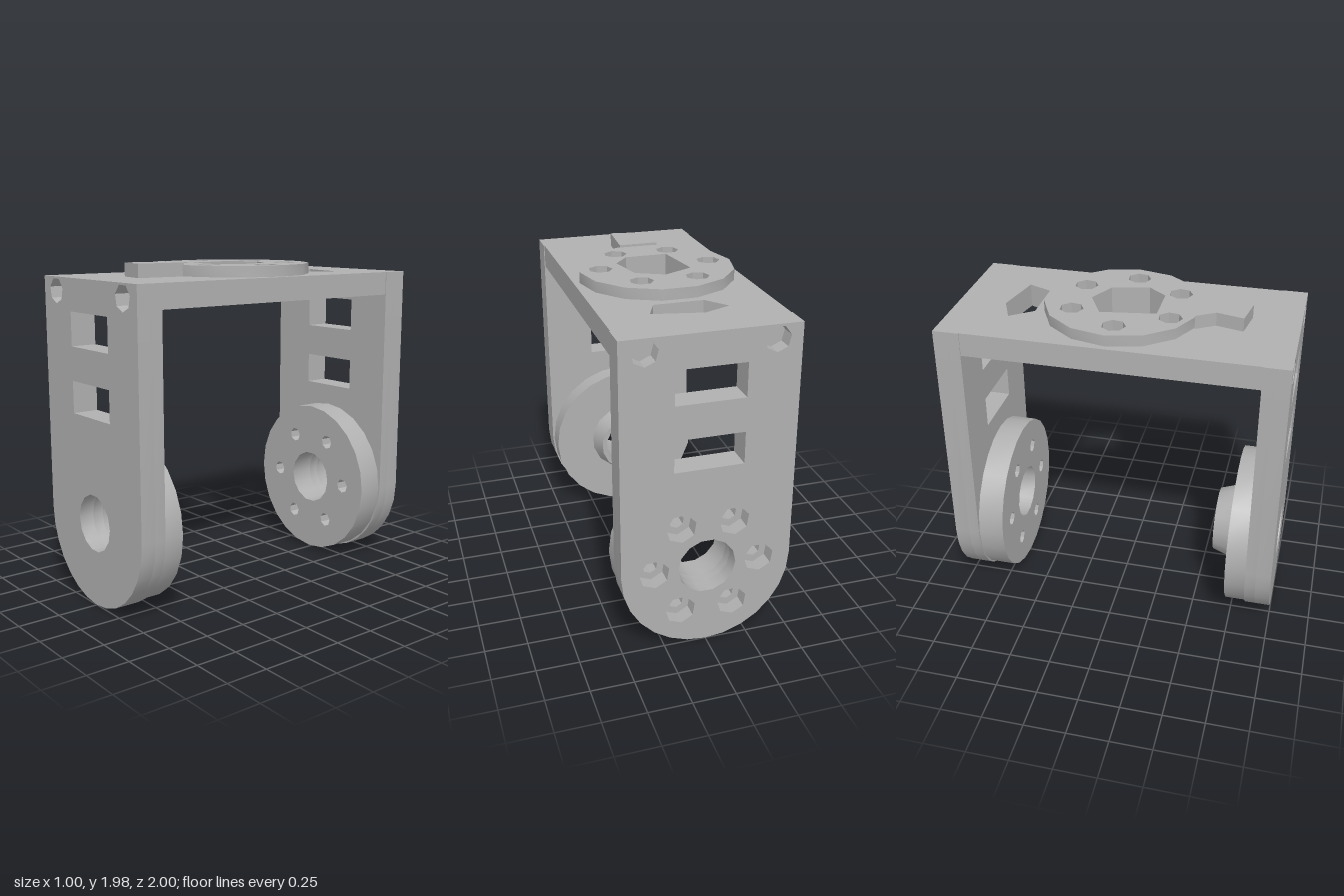
import * as THREE from 'three';
import { toCreasedNormals } from 'three/addons/utils/BufferGeometryUtils.js';

const gray = new THREE.MeshStandardMaterial({ color: 0xb0b0b0 });
gray.name = 'plain gray';

const HUB_Y = 0.5;
const HOLE_R = 0.17;

function polygon(points) {
  return points.map(([x, y]) => new THREE.Vector2(x, y));
}

function ngon(cx, cy, r, sides, phase = 0) {
  return Array.from({ length: sides }, (_, i) => {
    const a = phase + (i / sides) * Math.PI * 2;
    return new THREE.Vector2(cx + r * Math.cos(a), cy + r * Math.sin(a));
  });
}

function rect(x0, x1, y0, y1) {
  return polygon([[x0, y0], [x1, y0], [x1, y1], [x0, y1]]);
}

// Six holes on a bolt circle
function boltHoles(cy, ringR, r) {
  return ngon(0, cy, ringR, 6).map((c) => ngon(c.x, c.y, r, 7, 0.3));
}

// Extruded slab from z0 to z1 with polygonal holes
function slab(name, outline, holes, z0, z1) {
  const shape = new THREE.Shape(outline);
  holes.forEach((h) => shape.holes.push(new THREE.Path(h)));
  const geo = new THREE.ExtrudeGeometry(shape, { depth: z1 - z0, bevelEnabled: false });
  geo.translate(0, 0, z0);
  const mesh = new THREE.Mesh(toCreasedNormals(geo, 0.6), gray);
  mesh.name = name;
  return mesh;
}

// Arm outline: straight sides, round bottom
function armOutline() {
  const points = polygon([[0.5, 1.9], [-0.5, 1.9]]);
  for (let i = 0; i <= 14; i++) {
    const a = Math.PI * (1 + i / 14);
    points.push(new THREE.Vector2(0.5 * Math.cos(a), HUB_Y + 0.5 * Math.sin(a)));
  }
  return points;
}

// One arm facing +z: outer skin with pockets, inner skin, hub disc
function arm(name, bolted, bossZ) {
  const g = new THREE.Group();
  g.name = name;
  const bore = ngon(0, HUB_Y, HOLE_R, 14);
  const open = [bore, rect(-0.2, 0.2, 1.12, 1.31), rect(-0.2, 0.2, 1.51, 1.71)];
  const screwPits = [-0.36, 0.36].map((x) => ngon(x, 1.82, 0.075, 7, 0.2));
  const pockets = bolted ? boltHoles(HUB_Y, 0.31, 0.09) : [];
  const bolts = bolted ? boltHoles(HUB_Y, 0.31, 0.045) : [];
  g.add(slab('armOuterSkin', armOutline(), [...open, ...screwPits, ...pockets], 0.91, 1));
  g.add(slab('armInnerSkin', armOutline(), [...open, ...bolts], 0.845, 0.91));
  g.add(slab('hubDisc', ngon(0, HUB_Y, 0.49, 24), [bore, ...bolts], bossZ, 0.845));
  return g;
}

export function createModel() {
  const model = new THREE.Group();
  model.name = 'bracket';

  // Front arm with a bearing collar on its inner side
  const front = arm('frontArm', false, 0.72);
  const collarGeo = new THREE.LatheGeometry(
    polygon([[0.24, 0], [0.2, 0.12], [HOLE_R, 0.12], [HOLE_R, 0]]), 14);
  collarGeo.rotateX(-Math.PI / 2).translate(0, HUB_Y, 0.72);
  const collar = new THREE.Mesh(toCreasedNormals(collarGeo, 0.6), gray);
  collar.name = 'bearingCollar';
  front.add(collar);
  model.add(front);

  // Back arm with a bolt circle
  const back = arm('backArm', true, 0.69);
  back.rotation.y = Math.PI;
  model.add(back);

  // Top bridge, drawn flat and laid down so extrusion runs up y
  const top = new THREE.Group();
  top.name = 'topBridge';
  top.rotation.x = -Math.PI / 2;
  const centre = polygon([[-0.18, 0.12], [0, 0.21], [0.16, 0.13], [0.21, -0.09], [0.12, -0.2], [-0.13, -0.2]]);
  const slot = polygon([[-0.22, 0.65], [-0.12, 0.52], [0.17, 0.52], [0.23, 0.66], [-0.06, 0.72]]);
  top.add(slab('topPlate', rect(-0.495, 0.495, -0.85, 0.85),
    [centre, slot, ...boltHoles(0, 0.33, 0.04)], 1.76, 1.9));
  top.add(slab('raisedRing', ngon(0, 0.02, 0.46, 14), [centre, ...boltHoles(0, 0.33, 0.07)], 1.9, 1.965));
  top.add(slab('ringTongue',
    polygon([[-0.14, -0.42], [-0.07, -0.53], [-0.11, -0.69], [0.08, -0.72], [0.1, -0.42]]), [], 1.9, 1.98));
  model.add(top);

  return model;
}
